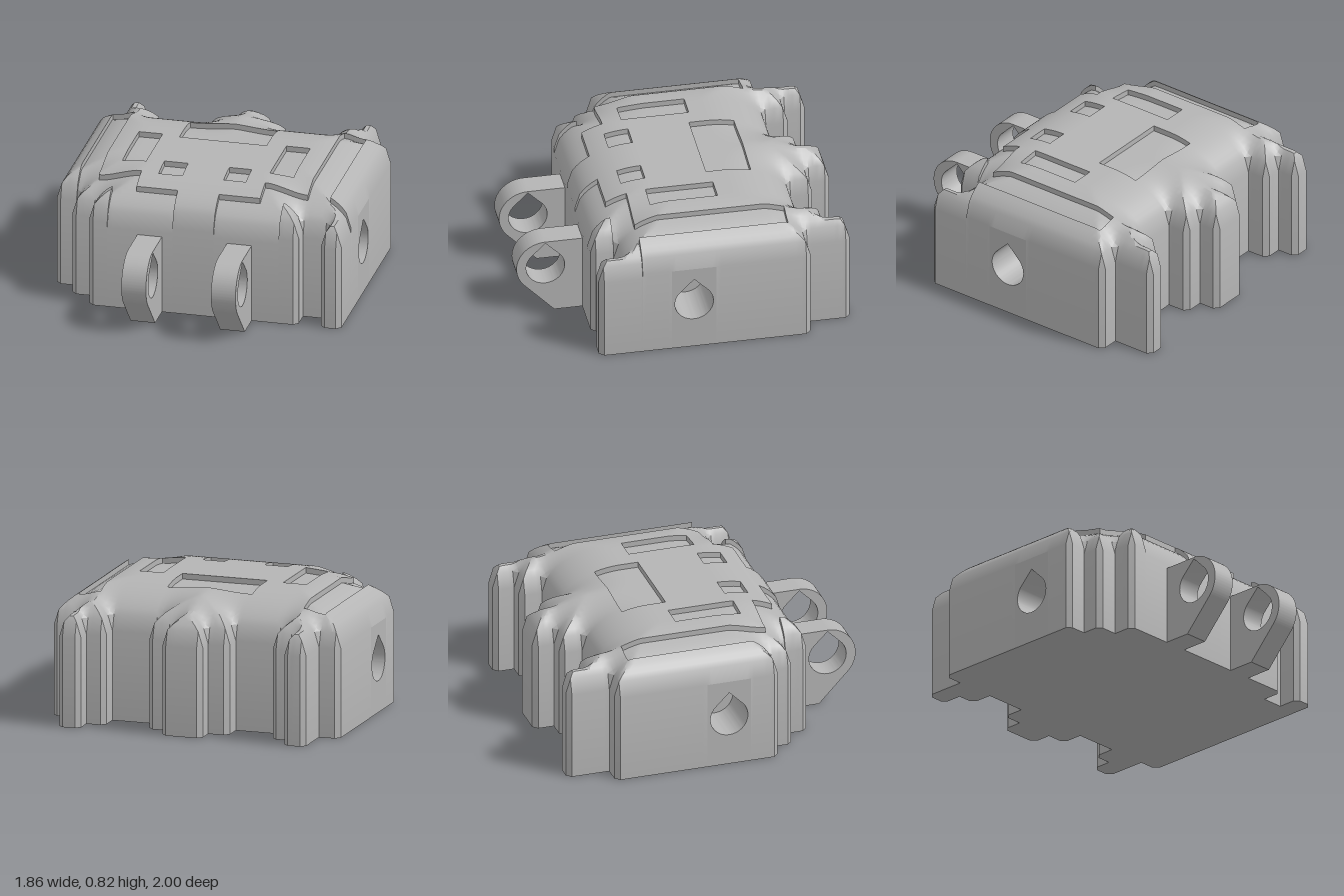
import * as THREE from 'three';
import { toCreasedNormals } from 'three/addons/utils/BufferGeometryUtils.js';

const WALL = 0.565, RISE = 0.26, RUN = 0.42, DEPTH = 0.035, CHAMFER = 0.03;
const SIDE = 0.93, PIN_Y = 0.32;

// stepped footprint, as [x, z]
const OUTLINE = [
  [-SIDE, -0.73], [-0.8, -0.73], [-0.8, -1], [-0.66, -1], [-0.66, -0.87], [-0.54, -0.87], [-0.54, -0.73],
  [-0.26, -0.73], [-0.26, -0.87], [-0.13, -0.87], [-0.13, -1], [0.13, -1], [0.13, -0.87], [0.26, -0.87], [0.26, -0.73],
  [0.54, -0.73], [0.54, -0.87], [0.66, -0.87], [0.66, -1], [0.8, -1], [0.8, -0.73], [SIDE, -0.73],
  [SIDE, 0.59], [0.8, 0.59], [0.8, 0.45], [0.66, 0.45], [0.66, 0.59],
  [-0.66, 0.59], [-0.66, 0.45], [-0.8, 0.45], [-0.8, 0.32], [-SIDE, 0.32],
];

// sunken panels, as [x0, z0, x1, z1]
const RECESSES = [
  [-0.28, -0.48, 0.27, -0.2],
  [-0.54, -0.22, -0.39, 0.2], [0.39, -0.22, 0.54, 0.2],
  [-0.28, 0.18, -0.13, 0.33], [0.13, 0.18, 0.27, 0.33],
  [-0.8, -0.61, -0.66, 0.32], [0.66, -0.61, 0.8, 0.32],
  [-0.8, 0.32, -0.39, 0.45], [0.39, 0.32, SIDE, 0.45],
  [-0.54, 0.45, -0.13, 0.59], [0.13, 0.45, 0.54, 0.59], [0.8, 0.45, SIDE, 0.59],
];

function inside(x, z) {
  let hit = false;
  OUTLINE.forEach(([ax, az], i) => {
    const [bx, bz] = OUTLINE[(i + 1) % OUTLINE.length];
    if ((az > z) !== (bz > z) && x < ax + ((z - az) / (bz - az)) * (bx - ax)) hit = !hit;
  });
  return hit;
}

// distance from the footprint's edge
function edgeDistance(x, z) {
  let best = Infinity;
  OUTLINE.forEach(([ax, az], i) => {
    const [bx, bz] = OUTLINE[(i + 1) % OUTLINE.length];
    const dx = x - THREE.MathUtils.clamp(x, Math.min(ax, bx), Math.max(ax, bx));
    const dz = z - THREE.MathUtils.clamp(z, Math.min(az, bz), Math.max(az, bz));
    best = Math.min(best, Math.hypot(dx, dz));
  });
  return best;
}

// rounded shoulder rising from the wall to the flat top
function domeHeight(x, z) {
  const t = 1 - Math.min(edgeDistance(x, z) / RUN, 1);
  return WALL + RISE * Math.sqrt(1 - t * t);
}

// grid lines on every feature edge, with finer steps between
function gridLines(axis) {
  const marks = axis ? [-0.14, 0.14] : [];
  OUTLINE.forEach((p) => marks.push(p[axis], p[axis] - CHAMFER, p[axis] + CHAMFER));
  RECESSES.forEach((r) => marks.push(r[axis], r[axis + 2]));
  const sorted = [...new Set(marks.map((m) => Math.round(m * 1000) / 1000))].sort((a, b) => a - b);
  const lines = [sorted[0]];
  for (let i = 1; i < sorted.length; i++) {
    const a = sorted[i - 1], b = sorted[i], n = Math.ceil((b - a) / 0.0301);
    for (let k = 1; k <= n; k++) lines.push(a + ((b - a) * k) / n);
  }
  return lines;
}

// shell: top, recess edges, chamfered walls and floor, cell by cell
function bodyGeometry() {
  const xs = gridLines(0), zs = gridLines(1), pos = [];
  const heights = xs.map((x) => zs.map((z) => domeHeight(x, z)));
  const tri = (a, b, c) => pos.push(...a, ...b, ...c);
  const cells = xs.slice(1).map((_, i) => zs.slice(1).map((_, j) => {
    const x = (xs[i] + xs[i + 1]) / 2, z = (zs[j] + zs[j + 1]) / 2;
    if (!inside(x, z)) return null;
    return RECESSES.some((r) => x > r[0] && x < r[2] && z > r[1] && z < r[3]) ? DEPTH : 0;
  }));
  const cellAt = (i, j) => cells[i]?.[j] ?? null;

  cells.forEach((column, i) => column.forEach((sink, j) => {
    if (sink === null) return;
    const corners = [[i, j], [i, j + 1], [i + 1, j + 1], [i + 1, j]];
    const near = [cellAt(i - 1, j), cellAt(i, j + 1), cellAt(i + 1, j), cellAt(i, j - 1)];
    const p = corners.map(([a, b]) => [xs[a], heights[a][b] - sink, zs[b]]);
    const low = (q, y = 0) => [q[0], y, q[2]];
    const wall = (a, b, ya, yb) => {
      tri(low(a, ya), low(b, yb), b);
      tri(low(a, ya), b, a);
    };
    const cut = [0, 1, 2, 3].find((k) => near[k] === null && near[(k + 1) % 4] === null);
    if (cut !== undefined) { // chamfered corner
      const [a, b, c] = [p[cut], p[(cut + 2) % 4], p[(cut + 3) % 4]];
      tri(a, b, c);
      tri(low(c), low(b), low(a));
      wall(a, b, 0, 0);
    } else {
      const s = p[0][1] + p[2][1] >= p[1][1] + p[3][1] ? 0 : 1; // fold along the ridge
      const [a, b, c, d] = [0, 1, 2, 3].map((k) => p[(k + s) % 4]);
      tri(a, b, c);
      tri(a, c, d);
      tri(low(c), low(b), low(a));
      tri(low(d), low(c), low(a));
    }
    near.forEach((other, k) => {
      const a = p[k], b = p[(k + 1) % 4];
      if (other === null) {
        const pinPanel = Math.abs(a[0]) > SIDE - 0.001 && a[0] === b[0] && Math.abs(a[2] + b[2]) < 0.28;
        if (cut === undefined && !pinPanel) wall(a, b, 0, 0);
      } else if (other > sink) wall(a, b, a[1] - DEPTH, b[1] - DEPTH);
    });
  }));
  const geo = new THREE.BufferGeometry();
  geo.setAttribute('position', new THREE.Float32BufferAttribute(pos, 3));
  return toCreasedNormals(geo, 0.5);
}

// teardrop pin hole: round below, pointed on top
function teardrop(z) {
  const hole = new THREE.Path(), r = 0.12;
  hole.moveTo(z, PIN_Y + r * Math.SQRT2);
  hole.absarc(z, PIN_Y, r, Math.PI * 0.75, Math.PI * 2.25, false);
  hole.lineTo(z, PIN_Y + r * Math.SQRT2);
  return hole;
}

// extrudes a z-y shape along x, ending at x = 0
function sideExtrude(shape, depth) {
  const geo = new THREE.ExtrudeGeometry(shape, { depth, bevelEnabled: false, curveSegments: 32 });
  geo.rotateY(-Math.PI / 2);
  return toCreasedNormals(geo, 0.5);
}

export function createModel() {
  const group = new THREE.Group();
  const grey = new THREE.MeshStandardMaterial({ color: 0xb4b4b4 });
  grey.name = 'plain grey';
  const add = (name, geo, x = 0, y = 0, z = 0) => {
    const mesh = new THREE.Mesh(geo, grey);
    mesh.name = name;
    mesh.position.set(x, y, z);
    group.add(mesh);
  };

  add('body', bodyGeometry());

  // hinge lugs on the front
  const lug = new THREE.Shape();
  lug.moveTo(0.55, 0);
  lug.lineTo(0.765, 0);
  lug.absarc(0.82, PIN_Y, 0.18, -Math.PI / 4, Math.PI / 2, false);
  lug.lineTo(0.55, 0.5);
  lug.closePath();
  lug.holes.push(teardrop(0.82));
  const lugGeo = sideExtrude(lug, 0.155);
  add('rightHingeLug', lugGeo, -0.195);
  add('leftHingeLug', lugGeo, 0.37);

  // pin sockets in the side walls
  const panel = new THREE.Shape();
  panel.moveTo(-0.14, 0);
  panel.lineTo(0.14, 0);
  panel.lineTo(0.14, WALL);
  panel.lineTo(-0.14, WALL);
  panel.closePath();
  panel.holes.push(teardrop(0));
  const socketDepth = 0.3, socketGeo = sideExtrude(panel, socketDepth);
  for (const s of [-1, 1]) {
    const side = s > 0 ? 'left' : 'right';
    add(side + 'PinSocket', socketGeo, s > 0 ? SIDE : socketDepth - SIDE);
    add(side + 'SocketEnd', new THREE.BoxGeometry(0.01, 0.4, 0.28), s * (SIDE - socketDepth - 0.005), PIN_Y, 0);
  }
  return group;
}
